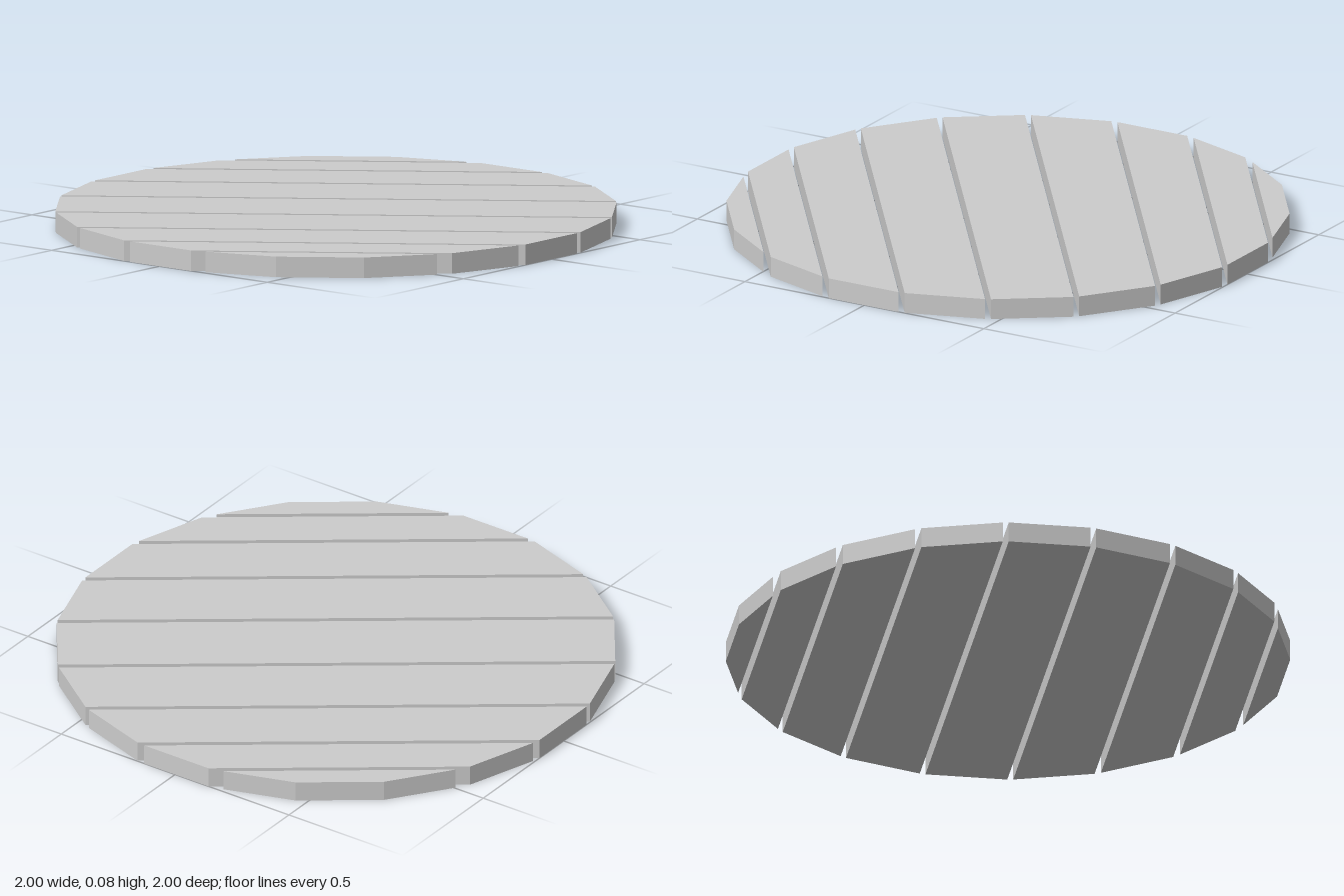
import * as THREE from 'three';

const HEIGHT = 0.075;
const SIDES = 20;
const RADIUS = 1 / Math.cos(Math.PI / SIDES);
const HALF_GAP = 0.0105;

// Corner of the twenty-sided outline; u runs across the slats, v along them
const corner = (k) => {
  const a = (Math.PI / SIDES) * (2 * k + 1);
  return { u: RADIUS * Math.cos(a), v: RADIUS * Math.sin(a) };
};

export function createModel() {
  const group = new THREE.Group();
  group.name = 'slattedDisc';
  const material = new THREE.MeshStandardMaterial({ color: 0xcccccc, flatShading: true });

  // One slat between each pair of neighbouring corners, trimmed by the gaps
  const count = SIDES / 2 - 1;
  for (let k = 0; k < count; k++) {
    const a = corner(k), b = corner(k + 1);
    const halfLength = (u) => a.v + ((b.v - a.v) * (u - a.u)) / (b.u - a.u);
    const u0 = k === 0 ? a.u : a.u * 1.004 - HALF_GAP;
    const u1 = k === count - 1 ? b.u : b.u * 1.004 + HALF_GAP;
    const v0 = halfLength(u0), v1 = halfLength(u1);
    const shape = new THREE.Shape([
      new THREE.Vector2(u1, -v1),
      new THREE.Vector2(u0, -v0),
      new THREE.Vector2(u0, v0),
      new THREE.Vector2(u1, v1),
    ]);
    const geometry = new THREE.ExtrudeGeometry(shape, { depth: HEIGHT, bevelEnabled: false });
    geometry.rotateX(-Math.PI / 2);
    const slat = new THREE.Mesh(geometry, material);
    slat.name = `slat${k + 1}`;
    group.add(slat);
  }

  // Slats run diagonally; bake the turn into the parts
  group.children.forEach((slat) => slat.geometry.rotateY(Math.PI / 5));
  return group;
}
